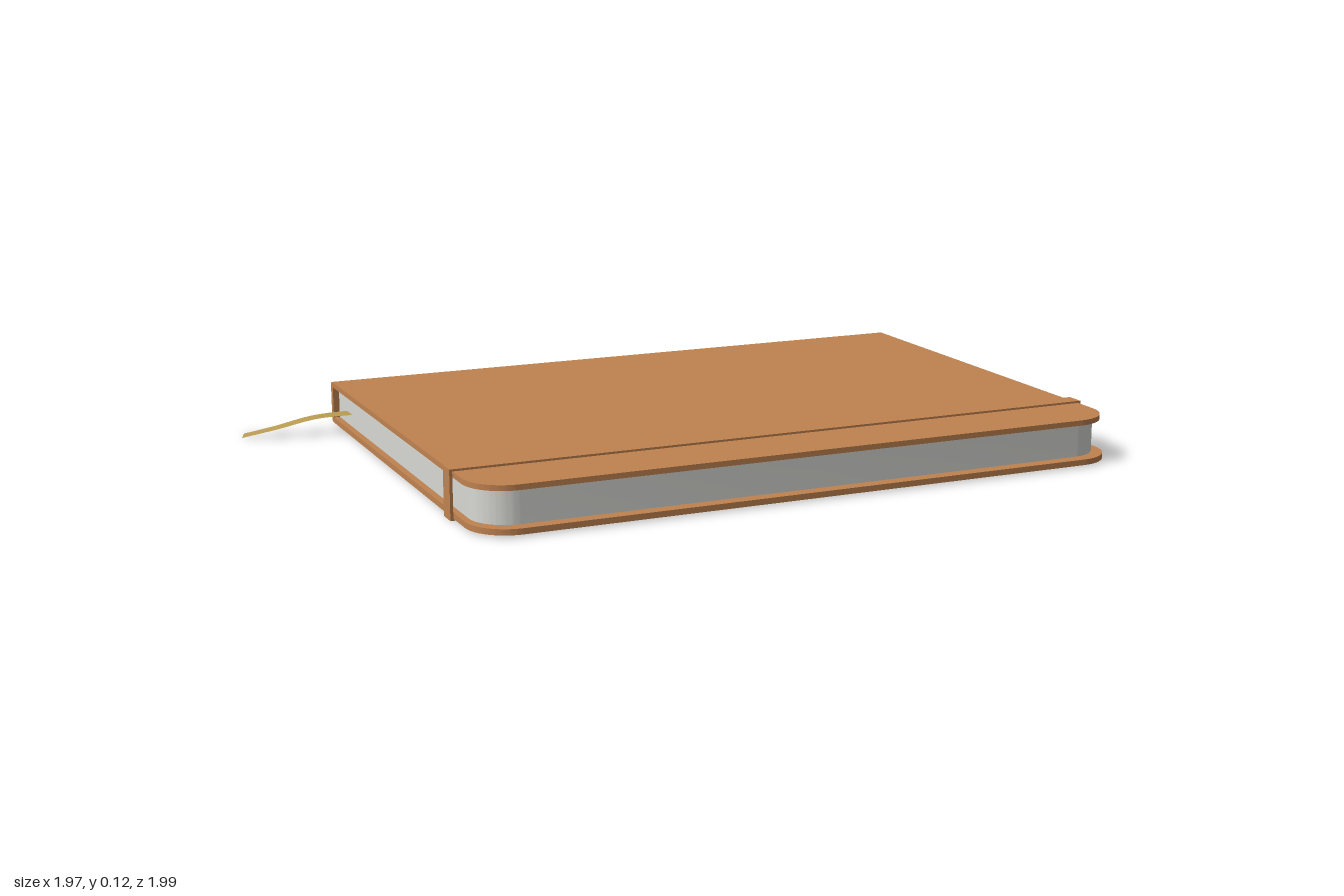
import * as THREE from 'three';
import { toCreasedNormals } from 'three/addons/utils/BufferGeometryUtils.js';

const mat = (name, color) => {
  const m = new THREE.MeshStandardMaterial({ color });
  m.name = name;
  return m;
};

// Flat slab with square corners at the spine and round corners at the fore edge
function slab(u0, u1, v0, v1, r, y0, y1) {
  const s = new THREE.Shape();
  s.moveTo(u0, v0);
  s.lineTo(u1 - r, v0);
  s.absarc(u1 - r, v0 + r, r, -Math.PI / 2, 0, false);
  s.lineTo(u1, v1 - r);
  s.absarc(u1 - r, v1 - r, r, 0, Math.PI / 2, false);
  s.lineTo(u0, v1);
  s.closePath();
  const g = new THREE.ExtrudeGeometry(s, { depth: y1 - y0, bevelEnabled: false, curveSegments: 12 });
  g.rotateX(Math.PI / 2).translate(0, y1, 0);
  return toCreasedNormals(g, 0.6);
}

// Box given by its two extreme corners
function boxBetween(a, b) {
  const g = new THREE.BoxGeometry(b[0] - a[0], b[1] - a[1], b[2] - a[2]);
  return g.translate((a[0] + b[0]) / 2, (a[1] + b[1]) / 2, (a[2] + b[2]) / 2);
}

export function createModel() {
  const leather = mat('tan leather', 0xc08250);
  const paper = mat('paper', 0xd8d8d4);
  const gold = mat('gold ribbon', 0xb89a50);
  gold.side = THREE.DoubleSide;

  const model = new THREE.Group();
  model.name = 'notebook';
  // Book space: x runs from spine to fore edge, z along the spine
  const book = new THREE.Group();
  book.name = 'book';
  book.position.set(0.02, 0, -1);
  book.rotation.y = -0.58;
  model.add(book);

  const add = (name, geometry, material) => {
    const mesh = new THREE.Mesh(geometry, material);
    mesh.name = name;
    book.add(mesh);
  };
  const L = 1.643;

  // Cover boards and page block
  add('backCover', slab(0.01, 1.2, 0, L, 0.1, 0.005, 0.019), leather);
  add('frontCover', slab(0.01, 1.183, 0, L, 0.1, 0.1, 0.113), leather);
  add('pages', slab(0.012, 1.168, 0.016, L - 0.016, 0.09, 0.019, 0.1), paper);

  // Rounded spine with a pale outer panel
  const s = new THREE.Shape();
  const r = 0.012;
  s.moveTo(0.018, 0.005);
  s.lineTo(0.018, 0.113);
  s.lineTo(r, 0.113);
  s.absarc(r, 0.113 - r, r, Math.PI / 2, Math.PI, false);
  s.lineTo(0, 0.005 + r);
  s.absarc(r, 0.005 + r, r, Math.PI, Math.PI * 1.5, false);
  s.closePath();
  const spine = new THREE.ExtrudeGeometry(s, { depth: L, bevelEnabled: false, curveSegments: 5 });
  add('spine', toCreasedNormals(spine, 0.6), leather);
  add('spinePanel', boxBetween([-0.002, 0.019, 0.012], [0.004, 0.1, L - 0.012]), paper);

  // Elastic band wrapped round the book
  const b0 = 0.974, b1 = 1.02, t = 0.007;
  add('bandTop', boxBetween([b0, 0.112, -t], [b1, 0.118, L + t]), leather);
  add('bandBottom', boxBetween([b0, 0, -t], [b1, 0.006, L + t]), leather);
  for (const [name, z] of [['bandHead', -t], ['bandTail', L]]) {
    add(name, boxBetween([b0, 0.005, z], [b1, 0.113, z + t]), leather);
  }

  // Bookmark ribbon drooping out of the tail end
  const curve = new THREE.CatmullRomCurve3([
    [0.13, 0.05, 1.55], [0.117, 0.051, 1.64], [0.1, 0.044, 1.72],
    [0.08, 0.022, 1.81], [0.052, 0.002, 1.892],
  ].map(p => new THREE.Vector3(...p)));
  const ribbon = new THREE.PlaneGeometry(1, 1, 1, 16);
  const pos = ribbon.attributes.position;
  for (let i = 0; i < pos.count; i++) {
    const k = 0.5 - pos.getY(i);
    const p = curve.getPoint(k), d = curve.getTangent(k);
    const side = new THREE.Vector3(d.z, 0, -d.x).normalize();
    p.addScaledVector(side, pos.getX(i) * 0.05);
    pos.setXYZ(i, p.x, p.y, p.z);
  }
  ribbon.computeVertexNormals();
  add('ribbon', ribbon, gold);

  return model;
}
